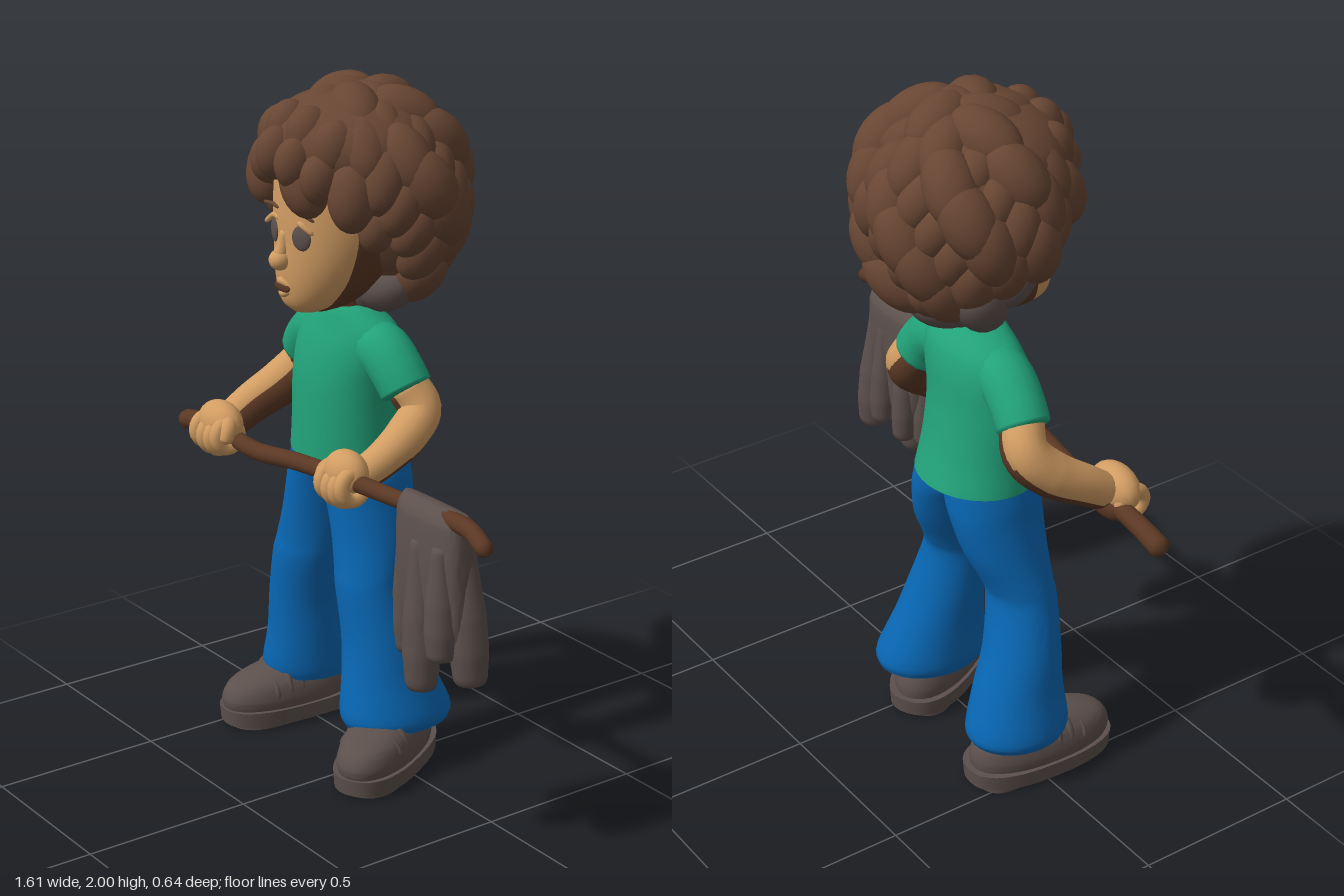
import * as THREE from 'three';
import { mergeVertices, toCreasedNormals } from 'three/addons/utils/BufferGeometryUtils.js';

const mat = (name, color) => {
  const m = new THREE.MeshStandardMaterial({ color });
  m.name = name;
  return m;
};

// Stack of horizontal super-ellipse rings, bottom to top: [y, cx, cz, rx, rz]
function loft(rings, power = 1, steps = 24, seg = 36) {
  const mid = new THREE.CatmullRomCurve3(rings.map(r => new THREE.Vector3(r[1], r[0], r[2])), false, 'catmullrom');
  const rad = new THREE.CatmullRomCurve3(rings.map(r => new THREE.Vector3(r[3], 0, r[4])), false, 'catmullrom');
  const pos = [], idx = [];
  const sp = v => Math.sign(v) * Math.abs(v) ** power;
  for (let i = 0; i <= steps; i++) {
    const c = mid.getPoint(i / steps), r = rad.getPoint(i / steps);
    for (let j = 0; j < seg; j++) {
      const a = j / seg * Math.PI * 2;
      pos.push(c.x + r.x * sp(Math.cos(a)), c.y, c.z + r.z * sp(Math.sin(a)));
    }
  }
  const end = (steps + 1) * seg;
  for (const r of [rings[0], rings[rings.length - 1]]) pos.push(r[1], r[0], r[2]);
  for (let j = 0; j < seg; j++) {
    const k = (j + 1) % seg, top = steps * seg;
    for (let i = 0; i < steps; i++) {
      const a = i * seg + j, b = i * seg + k;
      idx.push(a, a + seg, b, b, a + seg, b + seg);
    }
    idx.push(end, j, k, end + 1, top + k, top + j);
  }
  const g = new THREE.BufferGeometry();
  g.setAttribute('position', new THREE.Float32BufferAttribute(pos, 3));
  g.setIndex(idx);
  return toCreasedNormals(g, 0.9);
}

// Round limb through points [x, y, z, radius] with rounded ends
function limb(points, n = 32, seg = 16) {
  const path = new THREE.CatmullRomCurve3(points.map(p => new THREE.Vector3(p[0], p[1], p[2])));
  const g = new THREE.TubeGeometry(path, n, 1, seg);
  const p = g.attributes.position, v = new THREE.Vector3();
  for (let i = 0; i <= n; i++) {
    const c = path.getPointAt(i / n);
    const u = i / n * (points.length - 1), k = Math.min(Math.floor(u), points.length - 2);
    const d = Math.min(1, Math.min(i, n - i) / 2);
    const r = THREE.MathUtils.lerp(points[k][3], points[k + 1][3], u - k) * Math.sqrt(1 - (1 - d) ** 2);
    for (let j = 0; j <= seg; j++) {
      const q = i * (seg + 1) + j;
      v.fromBufferAttribute(p, q).sub(c).multiplyScalar(r).add(c);
      p.setXYZ(q, v.x, v.y, v.z);
    }
  }
  g.deleteAttribute('uv');
  g.deleteAttribute('normal');
  const m = mergeVertices(g, 1e-5);
  m.computeVertexNormals();
  return m;
}

export function createModel() {
  const root = new THREE.Group();
  root.name = 'boyWithStick';
  const skin = mat('skin', 0xd29d63), hair = mat('hairBrown', 0x684633), dark = mat('darkBrown', 0x5b3824);
  const green = mat('shirtGreen', 0x22a279), blue = mat('jeansBlue', 0x0867b4), grey = mat('warmGrey', 0x5c504c);

  const add = (name, geo, material, parent = root) => {
    const m = new THREE.Mesh(geo, material);
    m.name = name;
    parent.add(m);
    return m;
  };
  const ball = new THREE.SphereGeometry(1, 20, 14);
  const blob = (name, material, p, s, parent = root) => {
    const m = add(name, ball, material, parent);
    m.position.set(...p);
    m.scale.set(...s);
    return m;
  };

  // Jeans
  add('hips', loft([[.785, -.21, -.022, .06, .05], [.83, -.212, -.025, .15, .09], [.88, -.213, -.028, .185, .125], [.94, -.217, -.03, .165, .135]]), blue);
  add('rightLeg', loft([[.135, -.437, -.04, .122, .145], [.17, -.437, -.04, .13, .155], [.28, -.42, -.025, .12, .132], [.4, -.405, -.002, .114, .11],
    [.54, -.37, .018, .11, .097], [.6, -.355, .01, .109, .1], [.7, -.33, -.014, .107, .124], [.8, -.306, -.026, .11, .138],
    [.86, -.288, -.028, .119, .14], [.93, -.282, -.03, .108, .132]], 1, 36), blue);
  add('leftLeg', loft([[.135, .012, -.03, .132, .165], [.17, .01, -.027, .14, .172], [.28, -.008, -.014, .124, .14], [.4, -.026, .002, .114, .112],
    [.54, -.05, .022, .1, .098], [.6, -.063, .013, .1, .102], [.7, -.088, -.014, .1, .124], [.8, -.117, -.026, .105, .138],
    [.86, -.138, -.028, .118, .14], [.93, -.155, -.03, .105, .132]], 1, 36), blue);

  // Shoes: thick sole with heel and tread pads, rounded upper, seam and laces
  const shoe = (name, x, z, turn) => {
    const g = new THREE.Group();
    g.name = name;
    g.position.set(x, 0, z);
    g.rotation.y = turn;
    root.add(g);
    add('sole', loft([[.01, 0, 0, .11, .232], [.058, 0, 0, .113, .236]], .8, 2), grey, g);
    add('heelPad', loft([[0, 0, -.13, .09, .085], [.03, 0, -.13, .09, .085]], .75, 2), grey, g);
    add('treadPad', loft([[0, 0, .085, .092, .13], [.03, 0, .085, .092, .13]], .8, 2), grey, g);
    add('upper', loft([[.05, 0, .004, .102, .222], [.085, 0, .006, .106, .226], [.125, 0, 0, .096, .208], [.15, 0, -.02, .08, .165],
      [.172, 0, -.055, .068, .11], [.21, 0, -.08, .06, .075]], .9), grey, g);
    for (const [sz, h] of [[.1, .15], [.055, .168], [.015, .178]]) {
      add('strap', limb([[-.098, .09, sz, .01], [-.07, h - .02, sz, .012], [0, h, sz - .01, .012], [.07, h - .02, sz, .012], [.098, .09, sz, .01]], 20, 10), grey, g);
    }
  };
  shoe('rightShoe', -.445, .03, -.05);
  shoe('leftShoe', .045, .033, .52);

  // T-shirt body and sleeves
  add('shirt', loft([[.905, -.222, -.035, .186, .165], [1.0, -.217, -.022, .18, .148], [1.13, -.213, -.013, .183, .132],
    [1.23, -.2, -.018, .192, .118], [1.295, -.187, -.02, .175, .098], [1.34, -.177, -.008, .105, .072], [1.36, -.175, -.002, .062, .055]]), green);
  add('rightSleeve', limb([[-.26, 1.25, -.02, .078], [-.34, 1.238, -.025, .08], [-.41, 1.192, -.035, .076], [-.458, 1.14, -.045, .074]]), green);
  add('leftSleeve', limb([[-.11, 1.25, -.02, .078], [-.03, 1.238, -.02, .08], [.02, 1.197, -.025, .077], [.06, 1.14, -.035, .076]]), green);

  // Arms, with a darker underside
  const arm = (name, pts, inward) => {
    add(name, limb(pts), skin);
    add(name + 'Underside', limb(pts.map(([x, y, z, r]) => [x + inward * .008, y - .012, z - .001, r * .985])), dark);
  };
  arm('rightArm', [[-.43, 1.18, -.035, .058], [-.493, 1.1, -.065, .062], [-.525, 1.035, -.01, .062],
    [-.55, .975, .09, .055], [-.558, .925, .17, .048]], 1);
  arm('leftArm', [[.045, 1.18, -.03, .058], [.09, 1.1, -.055, .06], [.108, 1.045, .0, .059],
    [.108, .985, .09, .05], [.1, .945, .17, .044]], -1);

  // Hands gripping the stick: palm, curled fingers, thumb
  const finger = new THREE.TorusGeometry(.038, .022, 10, 18);
  const hand = (name, x, y, z, w, side) => {
    const g = new THREE.Group();
    g.name = name;
    g.position.set(x, y, z);
    g.rotation.z = .06;
    root.add(g);
    blob('palm', skin, [0, .026, -.004], [w * 1.1, .066, .056], g);
    blob('palmUnderside', dark, [0, -.018, -.025], [w * .95, .046, .04], g);
    for (let i = 0; i < 4; i++) {
      const f = add('finger', finger, skin, g);
      f.rotation.y = Math.PI / 2;
      f.position.set((i - 1.5) * w * .46, -.006 + (i % 3 ? -.006 : .004), .01);
    }
    add('thumb', limb([[side * w * .5, .05, -.01, .024], [side * w * .95, .025, .02, .024], [side * w * 1.0, -.02, .035, .019]], 14, 10), skin, g);
  };
  hand('rightHand', -.55, .905, .2, .08, 1);
  hand('leftHand', .093, .938, .205, .07, -1);

  // Crooked stick
  add('stick', limb([[-.808, .863, .165, .031], [-.7, .885, .168, .028], [-.55, .893, .178, .026], [-.38, .89, .19, .027],
    [-.15, .925, .2, .026], [.1, .945, .2, .025], [.35, .965, .21, .025], [.55, .985, .225, .024], [.7, .997, .245, .024],
    [.76, .985, .258, .026], [.805, .965, .265, .024]], 120, 12), dark);

  // Draped cloth: a saddle over the stick and rounded folds hanging from it
  const cloth = new THREE.Group();
  cloth.name = 'cloth';
  root.add(cloth);
  add('clothTop', loft([[.6, .545, .226, .1, .03], [.7, .54, .226, .128, .05], [.84, .53, .225, .135, .056], [.95, .524, .221, .137, .053],
    [.99, .524, .22, .137, .044], [1.014, .524, .22, .132, .015]], .6, 24, 48), grey, cloth);
  const folds = [[.415, .425, .24, .235, .55, .038], [.505, .525, .255, .265, .48, .05], [.6, .615, .262, .27, .6, .044],
    [.46, .475, .195, .19, .56, .038], [.565, .575, .19, .18, .58, .04], [.625, .655, .205, .2, .525, .052]];
  for (const [x0, x1, z0, z1, bottom, r] of folds) {
    const at = (t, k) => [x0 + (x1 - x0) * t, .93 + (bottom - .93) * t, z0 + (z1 - z0) * t, r * k];
    add('clothFold', limb([at(0, .55), at(.35, .75), at(.65, 1), at(.88, 1.05), at(1, .85)], 30, 14), grey, cloth);
  }

  // Neck, face and darker nape
  add('neck', loft([[1.33, -.175, .0, .062, .055], [1.38, -.17, .01, .056, .05], [1.47, -.16, .03, .07, .07]]), dark);
  const face = [[1.365, -.16, .15, .04, .042], [1.395, -.157, .128, .092, .095], [1.47, -.148, .095, .142, .142],
    [1.57, -.14, .07, .17, .17], [1.68, -.14, .062, .175, .178], [1.78, -.14, .06, .16, .168], [1.86, -.14, .05, .1, .11]];
  add('face', loft(face), skin);
  add('nape', loft(face.map(r => [r[0] - .002, r[1], r[2] - .03, r[3] * 1.065, r[4]])), dark);
  blob('nose', skin, [-.155, 1.523, .245], [.03, .03, .032]);
  add('noseBridge', limb([[-.148, 1.61, .229, .015], [-.152, 1.56, .238, .018], [-.155, 1.525, .252, .022]], 12, 10), skin);
  for (const s of [-1, 1]) {
    const ex = -.141 + s * .064;
    blob('eye', grey, [ex, 1.597, .226], [.031, .036, .009]).rotation.y = s * .36;
    add('eyelid', limb([[ex - .036, 1.622 + s * .012, .222 - s * .012, .007], [ex, 1.637, .228, .009],
      [ex + .036, 1.622 - s * .012, .222 - s * .012, .007]], 14, 8), skin);
    add('eyebrow', limb([[ex - .036, 1.662 - s * .008, .226 - s * .014, .005], [ex, 1.668, .23, .007],
      [ex + .038, 1.656 - s * .01, .222 - s * .016, .005]], 14, 8), hair);
  }
  blob('mouth', dark, [-.16, 1.443, .235], [.036, .016, .008]);
  add('upperLip', limb([[-.2, 1.443, .222, .006], [-.16, 1.461, .237, .011], [-.12, 1.443, .225, .006]], 14, 8), skin);
  add('lowerLip', limb([[-.19, 1.435, .222, .006], [-.16, 1.424, .232, .012], [-.13, 1.435, .225, .006]], 14, 8), skin);

  // Curly hair: inner mass plus long curls spread over an ellipsoid, leaving the face open
  const curls = new THREE.Group();
  curls.name = 'hair';
  root.add(curls);
  blob('hairMass', hair, [-.135, 1.68, -.075], [.295, .265, .195], curls);
  blob('hairTop', hair, [-.135, 1.825, .02], [.26, .155, .235], curls);
  const count = 92;
  for (let i = 0; i < count; i++) {
    const v = 1 - 2 * (i + .5) / count, r = Math.sqrt(1 - v * v), a = i * 2.39996;
    const n = new THREE.Vector3(r * Math.cos(a), v, r * Math.sin(a));
    const wob = Math.sin(i * 12.9898) * .5;
    const p = new THREE.Vector3(n.x * .275, n.y * .245, n.z * .225).multiplyScalar(1 + wob * .1).add(new THREE.Vector3(-.135, 1.685, -.02));
    const low = Math.max(0, 1.6 - p.y);
    p.z -= low * .1;
    p.y -= low * .22;
    if (p.y < 1.73 && p.z > .1 - (1.73 - p.y) * .42) continue;
    const s = .069 + wob * .016;
    const under = (n.y < -.85 && p.z > -.16) || (p.y < 1.54 && p.x < -.25 && p.z > -.12);
    const c = blob('curl', under ? grey : hair, [p.x, p.y, p.z], [s, s * 1.5, s], curls);
    c.lookAt(p.clone().add(n));
    c.rotateZ(wob);
  }
  // Fringe and the row above it
  for (const [x, y, z, s] of [[-.345, 1.65, .1, .058], [-.315, 1.735, .16, .06], [-.25, 1.785, .21, .058], [-.17, 1.82, .24, .062],
    [-.085, 1.805, .24, .06], [-.015, 1.77, .205, .06], [.045, 1.71, .15, .057], [.08, 1.63, .09, .052],
    [-.28, 1.84, .15, .07], [-.2, 1.87, .175, .07], [-.1, 1.87, .18, .07], [-.01, 1.845, .155, .07]]) {
    blob('fringeCurl', hair, [x, y, z], [s * .85, s * 1.2, s], curls);
  }
  return root;
}
